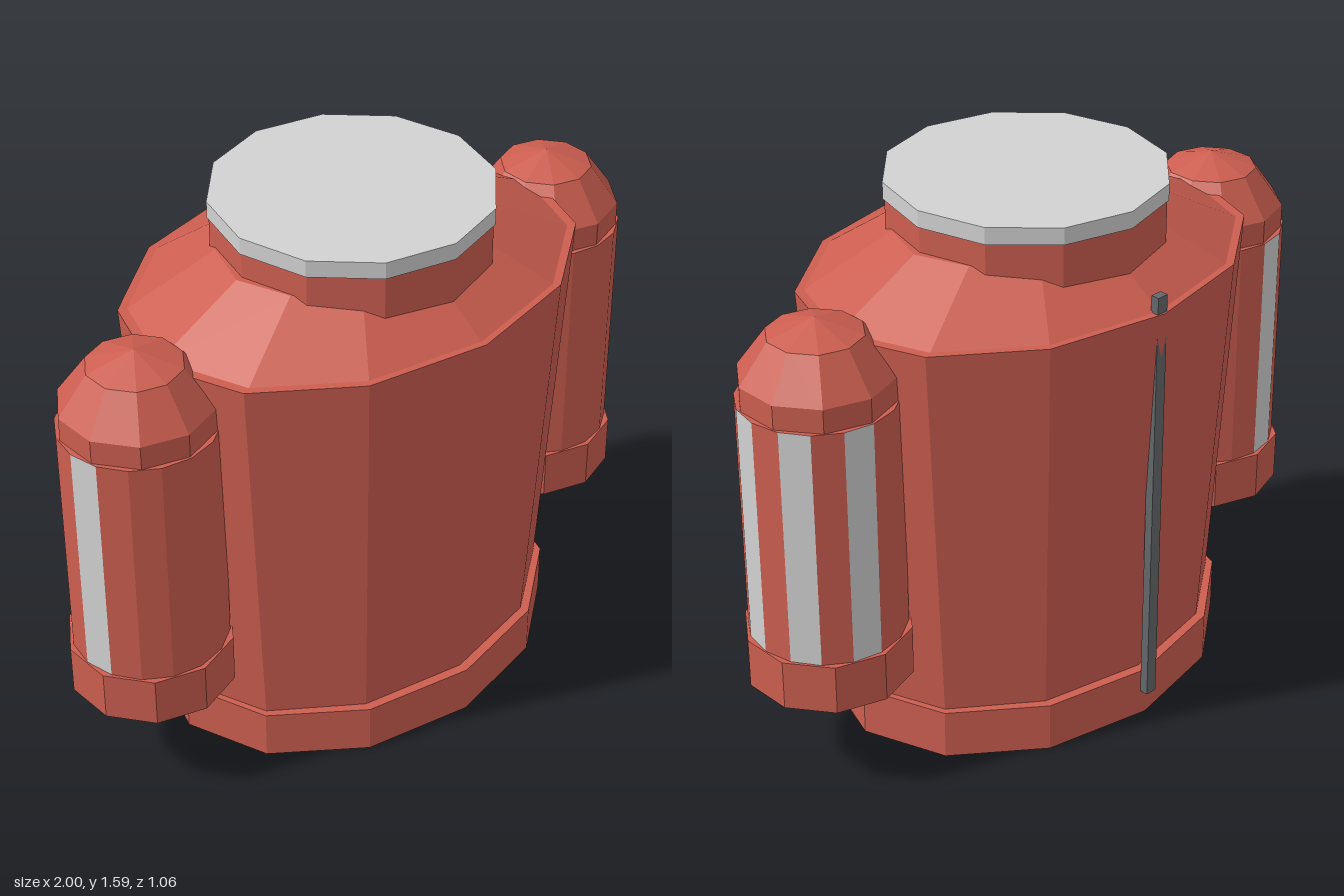
import * as THREE from 'three';

const paint = (name, color) => {
  const m = new THREE.MeshStandardMaterial({ color });
  m.name = name;
  return m;
};

// Gives every face its own normal for a faceted look
function facet(geometry) {
  const g = geometry.index ? geometry.toNonIndexed() : geometry;
  g.computeVertexNormals();
  return g;
}

// Tapered ring of n sides between y0 and y1, with elliptical ends [rx, rz]
function drum(n, y0, y1, [bx, bz], [tx, tz] = [bx, bz]) {
  const g = new THREE.CylinderGeometry(1, 1, y1 - y0, n);
  const p = g.attributes.position;
  for (let i = 0; i < p.count; i++) {
    const top = p.getY(i) > 0;
    p.setX(i, p.getX(i) * (top ? tx : bx));
    p.setZ(i, p.getZ(i) * (top ? tz : bz));
  }
  return facet(g.translate(0, (y0 + y1) / 2, 0));
}

export function createModel() {
  const red = paint('red shell', 0xcc5e50);
  const light = paint('light grey', 0xd2d2d2);
  const dark = paint('dark grey', 0x64686a);

  const model = new THREE.Group();
  model.name = 'backpack';
  const add = (parent, name, geometry, material) => {
    const mesh = new THREE.Mesh(geometry, material);
    mesh.name = name;
    parent.add(mesh);
    return mesh;
  };

  // Oval main tank
  add(model, 'baseRing', drum(12, 0, 0.15, [0.655, 0.5]), red);
  add(model, 'tank', drum(12, 0.15, 1.325, [0.638, 0.47], [0.72, 0.53]), red);
  add(model, 'shoulder', drum(12, 1.325, 1.46, [0.69, 0.51], [0.42, 0.31]), red);

  // Round neck and lid
  add(model, 'neck', drum(12, 1.3, 1.535, [0.4, 0.4]), red);
  add(model, 'lid', drum(12, 1.535, 1.585, [0.405, 0.405]), light);

  // Thin rod up the back
  const rod = new THREE.BoxGeometry(0.036, 1.295, 0.026).translate(0, 0.7275, -0.51);
  add(model, 'backRod', rod, dark);

  // Side canisters, mirrored, with light stripes on three outer rear facets
  for (const side of [1, -1]) {
    const pod = new THREE.Group();
    pod.name = side > 0 ? 'leftCanister' : 'rightCanister';
    pod.position.x = side * 0.772;
    model.add(pod);

    add(pod, 'canisterBase', drum(10, 0.3, 0.45, [0.24, 0.24]), red);

    const sides = 16;
    const striped = [3, 5, 7].map((i) => (side > 0 ? i : sides - 1 - i));
    const body = drum(sides, 0.45, 1.17, [0.225, 0.225]);
    body.clearGroups();
    for (let i = 0; i < sides; i++) body.addGroup(i * 6, 6, striped.includes(i) ? 1 : 0);
    body.addGroup(sides * 6, body.attributes.position.count - sides * 6, 0);
    add(pod, 'canisterBody', body, [red, light]);

    const dome = new THREE.SphereGeometry(0.23, 10, 5).rotateY(Math.PI / 2);
    add(pod, 'canisterDome', facet(dome.translate(0, 1.17, 0)), red);
  }

  return model;
}
